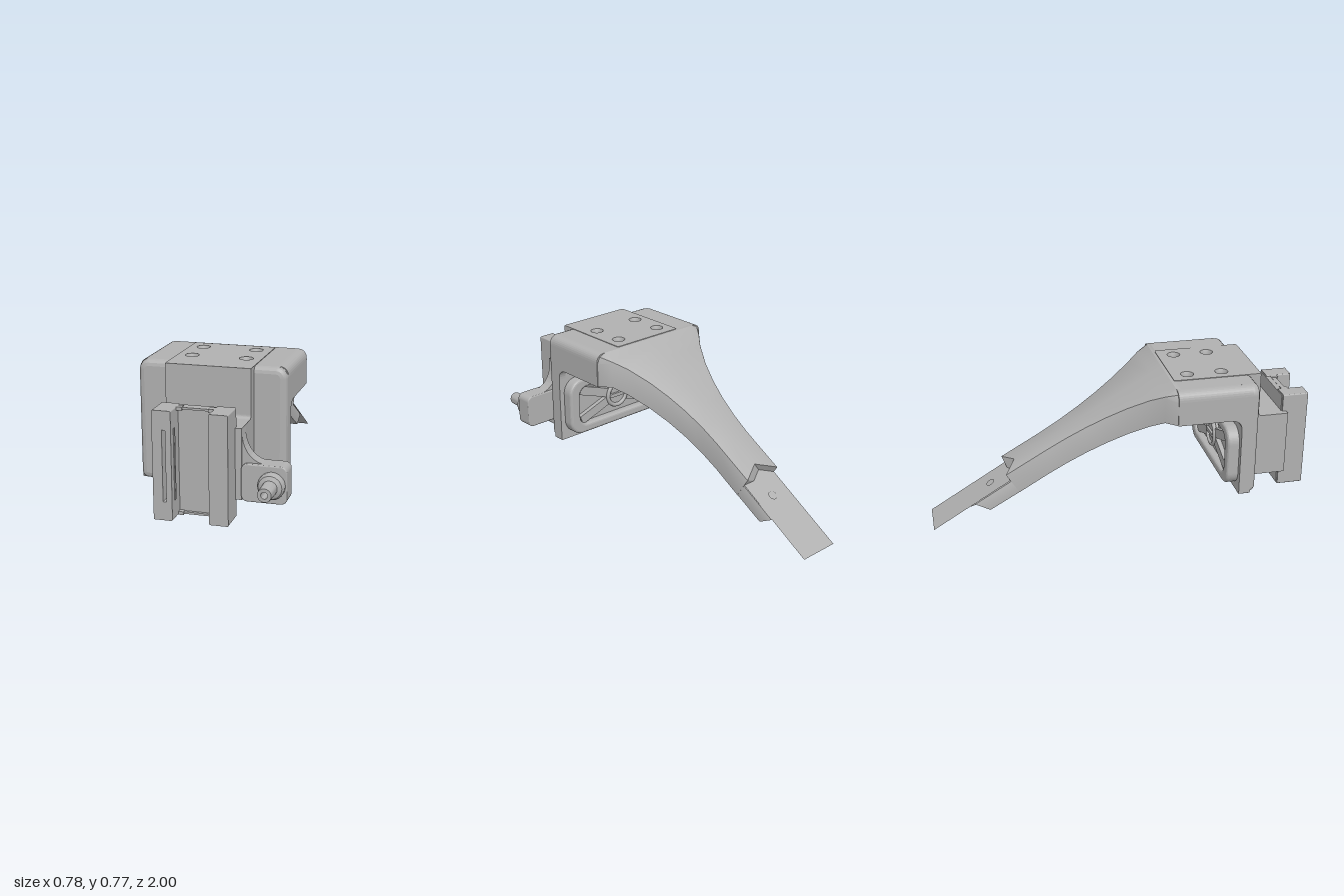
import * as THREE from 'three';
import { toCreasedNormals } from 'three/addons/utils/BufferGeometryUtils.js';

const CX = -0.0325; // symmetry line of the bracket and arm
const grey = new THREE.MeshStandardMaterial({ color: 0xb0b0b0, side: THREE.DoubleSide });
grey.name = 'plain grey';

function add(group, name, geometry) {
  const mesh = new THREE.Mesh(geometry, grey);
  mesh.name = name;
  group.add(mesh);
  return mesh;
}

function box(x0, x1, y0, y1, z0, z1) {
  return new THREE.BoxGeometry(x1 - x0, y1 - y0, z1 - z0)
    .translate((x0 + x1) / 2, (y0 + y1) / 2, (z0 + z1) / 2);
}

// Rectangle with a separate radius for the top and bottom corners
function rounded(x0, x1, y0, y1, rt, rb = rt, Type = THREE.Shape) {
  const s = new Type();
  s.moveTo(x0 + rb, y0).lineTo(x1 - rb, y0);
  s.absarc(x1 - rb, y0 + rb, rb, -Math.PI / 2, 0);
  s.lineTo(x1, y1 - rt);
  s.absarc(x1 - rt, y1 - rt, rt, 0, Math.PI / 2);
  s.lineTo(x0 + rt, y1);
  s.absarc(x0 + rt, y1 - rt, rt, Math.PI / 2, Math.PI);
  s.lineTo(x0, y0 + rb);
  s.absarc(x0 + rb, y0 + rb, rb, Math.PI, Math.PI * 1.5);
  return s;
}

function circle(x, y, r) {
  return new THREE.Path().absarc(x, y, r, 0, Math.PI * 2, true);
}

// Extrude an x-y outline from z0 to z1, with an optional edge bevel inside the outline
function slab(shape, z0, z1, bevel = 0) {
  return new THREE.ExtrudeGeometry(shape, {
    depth: z1 - z0 - 2 * bevel, curveSegments: 8, bevelEnabled: bevel > 0,
    bevelSize: bevel, bevelOffset: -bevel, bevelThickness: bevel, bevelSegments: 3,
  }).translate(0, 0, z0 + bevel);
}

// Skin over sections ordered from front to back: [zTop, yTop, zBottom, yBottom, halfWidth, radius, notch]
function loft(sections) {
  const n = 9, pos = [], index = [];
  for (const [zt, yt, zb, yb, w, r, notch = 0] of sections) {
    const side = [[w, yt - r], [w - 0.3 * r, yt - 0.3 * r], [w - r, yt]];
    pos.push(CX - w, yb, zb, CX + w, yb, zb);
    side.forEach(([x, y]) => pos.push(CX + x, y, zt));
    pos.push(CX, yt + notch * 0.584, zt + notch);
    side.reverse().forEach(([x, y]) => pos.push(CX - x, y, zt));
  }
  const last = (sections.length - 1) * n;
  for (let j = 0; j < n; j++) {
    const k = (j + 1) % n;
    for (let i = 0; i < last; i += n) index.push(i + j, i + n + j, i + k, i + k, i + n + j, i + n + k);
    if (j > 0 && k > 0) index.push(0, j, k, last, last + k, last + j);
  }
  const g = new THREE.BufferGeometry();
  g.setAttribute('position', new THREE.Float32BufferAttribute(pos, 3));
  g.setIndex(index);
  return toCreasedNormals(g, 0.5);
}

function buildArm(g) {
  // Flared arm, sloping down to the back
  const flare = [[0.165, 0.31, 0.012], [0.1, 0.257, 0.004], [0, 0.2, 0.003], [-0.1, 0.16, 0.003],
    [-0.2, 0.132, 0.003], [-0.3, 0.115, 0.003], [-0.4, 0.108, 0.003]];
  const top = z => 0.765 + 0.584 * (z - 0.22);
  const bottom = z => 0.59 + 0.584 * (z - 0.165);
  add(g, 'arm', loft([
    [0.24, 0.765, 0.24, 0.59, 0.3625, 0.05], [0.22, 0.765, 0.22, 0.59, 0.358, 0.05],
    ...flare.map(([z, w, r]) => [z, top(z), z, bottom(z), w, r]),
    [-0.615, 0.28, -0.55, bottom(-0.55), 0.108, 0.003, 0.055],
  ]));
  // Lower block under the tongue
  add(g, 'armEnd', loft([
    [-0.54, 0.27, -0.54, bottom(-0.54), 0.107, 0.002],
    [-0.78, 0.128, -0.705, 0.085, 0.107, 0.002],
  ]));
  // Thin tongue with a pin hole
  const slope = 0.6, length = 0.44 * Math.hypot(1, slope);
  const sheet = rounded(CX - 0.108, CX + 0.108, 0, length, 0.001);
  sheet.holes.push(circle(CX, 0.31 * Math.hypot(1, slope), 0.022));
  add(g, 'tongue', new THREE.ShapeGeometry(sheet).rotateX(Math.PI / 2 - Math.atan(slope)).translate(0, 0.002, -1));
  // Small catch below the tongue
  const wedge = new THREE.Shape([[0.73, 0.14], [0.73, 0.1], [0.8, 0.078], [0.855, 0.078]]
    .map(p => new THREE.Vector2(...p)));
  add(g, 'catch', slab(wedge, 0, 0.08).rotateY(Math.PI / 2).translate(CX - 0.04, 0, 0));
}

function buildBody(g) {
  // Thin rounded side walls of the hollow top
  for (const s of [-1, 1]) {
    const wall = new THREE.Shape();
    wall.moveTo(CX + s * 0.32, 0.59).lineTo(CX + s * 0.3625, 0.59).lineTo(CX + s * 0.3625, 0.715);
    wall.quadraticCurveTo(CX + s * 0.3625, 0.765, CX + s * 0.3125, 0.765).lineTo(CX + s * 0.2, 0.765);
    wall.lineTo(CX + s * 0.2, 0.735).lineTo(CX + s * 0.3, 0.735);
    wall.quadraticCurveTo(CX + s * 0.32, 0.735, CX + s * 0.32, 0.71);
    add(g, 'topWall', slab(wall, 0.22, 0.6));
  }
  // Upright plate with a softened front edge
  const plate = rounded(CX - 0.3625, CX + 0.3625, 0.17, 0.765, 0.052, 0.035);
  add(g, 'frontPlateFace', slab(plate, 0.55, 0.64, 0.03));
  add(g, 'frontPlate', slab(rounded(CX - 0.3625, CX + 0.3625, 0.17, 0.765, 0.05, 0.004), 0.55, 0.61));
  // Fillets where the side walls meet the upright plate
  const fillet = new THREE.Shape();
  fillet.moveTo(-0.56, 0.53).lineTo(-0.55, 0.53).quadraticCurveTo(-0.55, 0.59, -0.49, 0.59).lineTo(-0.56, 0.6);
  for (const x of [CX - 0.3625, CX + 0.32]) {
    add(g, 'innerFillet', slab(fillet, 0, 0.0425).rotateY(Math.PI / 2).translate(x, 0, 0));
  }

  // Top panel with four dished screw holes and their tubes
  const holes = [-0.17, 0.1].flatMap(x => [0.32, 0.5].map(z => [x, z]));
  const panel = rounded(-0.24, 0.175, -0.69, -0.235, 0.012, 0.012);
  holes.forEach(([x, z]) => panel.holes.push(circle(x, -z, 0.034)));
  add(g, 'topPanel', slab(panel, 0.735, 0.768).rotateX(-Math.PI / 2));
  const tube = [[0.034, 0.768], [0.02, 0.735], [0.018, 0.59], [0.03, 0.59], [0.034, 0.735]]
    .map(p => new THREE.Vector2(...p));
  holes.forEach(([x, z]) => add(g, 'screwTube', new THREE.LatheGeometry(tube, 20).translate(x, 0, z)));
}

function buildBackPad(g) {
  // Rounded pad behind the plate with a sunken face
  const frame = rounded(CX - 0.335, CX + 0.335, 0.2, 0.52, 0.08);
  frame.holes.push(rounded(CX - 0.27, CX + 0.27, 0.25, 0.47, 0.05, 0.05, THREE.Path));
  add(g, 'padFrame', slab(frame, 0.49, 0.56, 0.014));
  add(g, 'padFloor', box(CX - 0.29, CX + 0.29, 0.23, 0.49, 0.53, 0.555));
  for (const s of [-1, 1]) {
    add(g, 'padRib', new THREE.BoxGeometry(0.54, 0.05, 0.03).rotateZ(s * 0.34).translate(CX, 0.36, 0.52));
  }
  // Round knob with a bar across it
  add(g, 'knobRing', new THREE.TorusGeometry(0.065, 0.012, 8, 28).translate(CX, 0.36, 0.505));
  add(g, 'knobDisc', new THREE.CylinderGeometry(0.065, 0.065, 0.03, 28).rotateX(Math.PI / 2).translate(CX, 0.36, 0.52));
  add(g, 'knobBar', box(CX - 0.06, CX + 0.06, 0.35, 0.37, 0.492, 0.51));
}

function buildFrontBlock(g) {
  // Stepped bracket that carries the rail, drawn from the side
  const step = new THREE.Shape();
  step.moveTo(-0.6, 0.19).lineTo(-0.85, 0.19).lineTo(-0.85, 0.53).lineTo(-0.71, 0.53);
  step.quadraticCurveTo(-0.69, 0.53, -0.69, 0.55).lineTo(-0.69, 0.766).lineTo(-0.6, 0.766);
  add(g, 'frontBlock', slab(step, 0, 0.415).rotateY(Math.PI / 2).translate(-0.24, 0, 0));

  // Rail: two legs, one of them slotted, on a thin back
  add(g, 'railBack', box(-0.2, 0.135, 0.105, 0.615, 0.825, 0.86));
  const slotted = rounded(-0.21, -0.12, 0.1, 0.62, 0.006);
  slotted.holes.push(rounded(-0.163, -0.147, 0.19, 0.53, 0.002, 0.002, THREE.Path));
  add(g, 'railLeg', slab(slotted, 0.83, 0.965));
  add(g, 'railLeg', slab(rounded(0.055, 0.145, 0.1, 0.62, 0.006), 0.83, 0.965));
  for (const x of [-0.124, 0.059]) add(g, 'railRidge', box(x - 0.008, x + 0.008, 0.19, 0.53, 0.915, 0.93));
  // Clips across both ends of the rail
  for (const y of [0.104, 0.606]) {
    add(g, 'railClip', box(-0.1, 0.035, y, y + 0.01, 0.85, 0.875));
    for (const x of [-0.11, 0.045]) add(g, 'railClipEnd', box(x - 0.015, x + 0.015, y - 0.003, y + 0.013, 0.85, 0.885));
  }
}

function buildNozzle(g) {
  // Side lug with a curved web up to the block
  const web = new THREE.Shape();
  web.moveTo(0.16, 0.19).lineTo(0.3, 0.19).lineTo(0.3, 0.365).lineTo(0.27, 0.37);
  web.bezierCurveTo(0.21, 0.385, 0.175, 0.44, 0.175, 0.52).lineTo(0.16, 0.52);
  add(g, 'lugWeb', slab(web, 0.78, 0.845));
  add(g, 'lug', slab(rounded(0.175, 0.39, 0.19, 0.37, 0.03), 0.77, 0.865, 0.006));
  // Stepped hollow spout
  const spout = [[0.063, 0.86], [0.063, 0.885], [0.055, 0.9], [0.036, 0.908], [0.034, 0.99], [0.032, 1],
    [0.016, 1], [0.016, 0.868], [0, 0.868]].map(p => new THREE.Vector2(...p));
  const lathe = toCreasedNormals(new THREE.LatheGeometry(spout, 28), 0.6);
  add(g, 'spout', lathe.rotateX(Math.PI / 2).translate(0.32, 0.28, 0));
}

export function createModel() {
  const model = new THREE.Group();
  model.name = 'mountingBracket';
  const parts = { arm: buildArm, body: buildBody, backPad: buildBackPad, frontBlock: buildFrontBlock, nozzle: buildNozzle };
  for (const [name, build] of Object.entries(parts)) {
    const group = new THREE.Group();
    group.name = name + 'Group';
    build(group);
    model.add(group);
  }
  return model;
}
